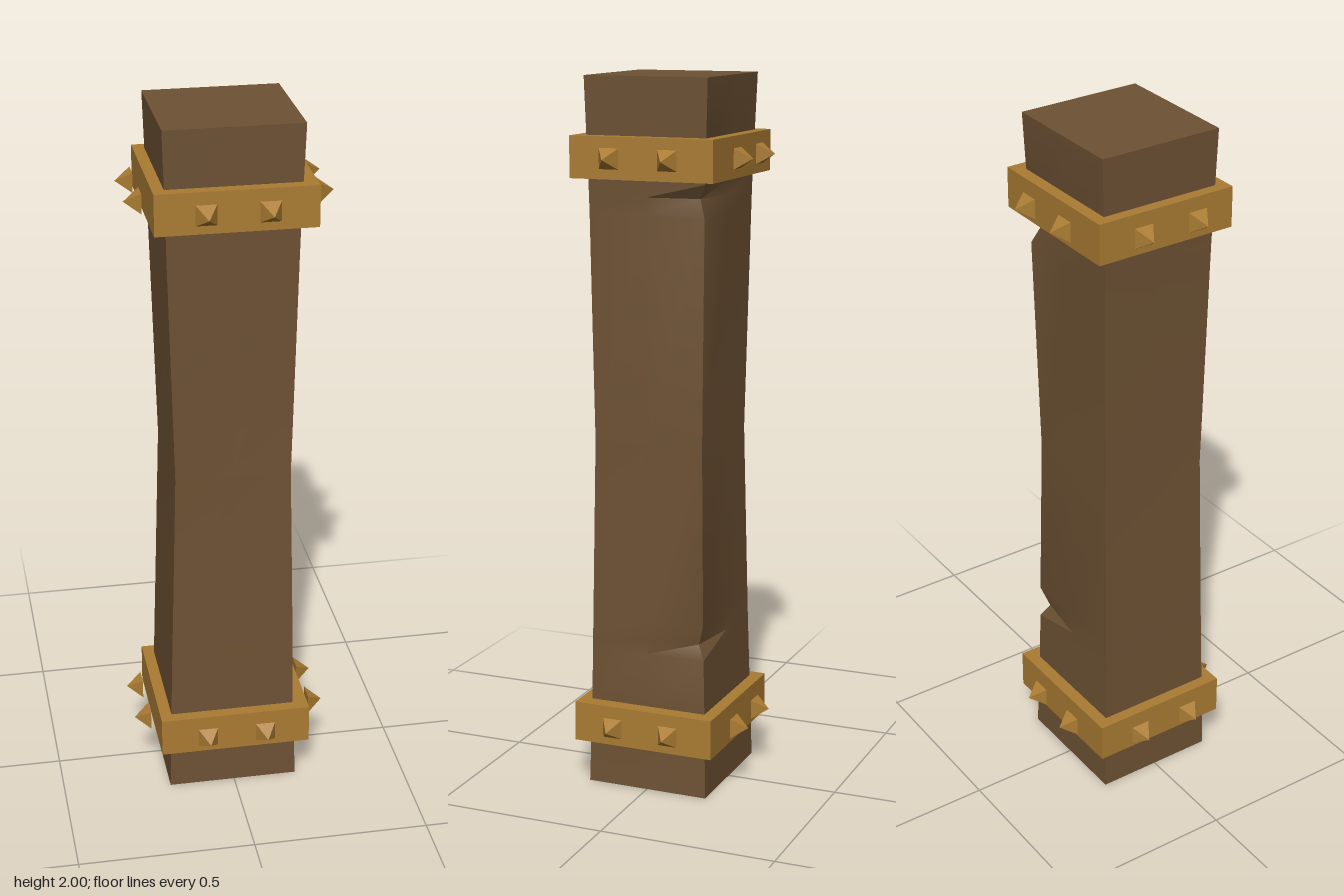
import * as THREE from 'three';
import { toCreasedNormals } from 'three/addons/utils/BufferGeometryUtils.js';

const wood = new THREE.MeshStandardMaterial({ color: 0x6e5234 });
const brass = new THREE.MeshStandardMaterial({ color: 0xab7c33 });

// Cross-sections of the post: y, left, right, back, front, chip depth at the back right corner
const SECTIONS = [
  [0, -0.19, 0.184, -0.178, 0.178, 0],
  [0.25, -0.184, 0.174, -0.171, 0.173, 0],
  [0.4, -0.18, 0.172, -0.167, 0.171, 0],
  [0.44, -0.179, 0.172, -0.166, 0.17, 0.021],
  [0.5, -0.177, 0.171, -0.165, 0.169, 0],
  [1.0, -0.163, 0.16, -0.156, 0.163, 0],
  [1.63, -0.18, 0.173, -0.166, 0.169, 0],
  [1.68, -0.181, 0.174, -0.167, 0.17, 0.021],
  [1.72, -0.182, 0.175, -0.168, 0.171, 0],
  [2, -0.19, 0.184, -0.178, 0.178, 0],
];

function postGeometry() {
  const pos = [], index = [], n = 8;
  for (const [y, l, r, b, f, chip] of SECTIONS) {
    const mx = (l + r) / 2, mz = (b + f) / 2;
    const loop = [[r, f], [r, mz], [r - chip, b + chip], [mx, b], [l, b], [l, mz], [l, f], [mx, f]];
    for (const [x, z] of loop) pos.push(x, y, z);
  }
  const last = SECTIONS.length - 1;
  for (let i = 0; i < last; i++) {
    for (let j = 0; j < n; j++) {
      const a = i * n + j, b = i * n + (j + 1) % n;
      index.push(a, b, b + n, a, b + n, a + n);
    }
  }
  // end caps
  for (let j = 1; j < n - 1; j++) {
    index.push(0, j + 1, j, last * n, last * n + j, last * n + j + 1);
  }
  const g = new THREE.BufferGeometry();
  g.setAttribute('position', new THREE.Float32BufferAttribute(pos, 3));
  g.setIndex(index);
  return toCreasedNormals(g, 0.5);
}

// Square pyramid pointing along +z, base at z = 0
function studGeometry() {
  const g = new THREE.ConeGeometry(0.028 * Math.SQRT2, 0.045, 4);
  g.rotateY(Math.PI / 4);
  g.translate(0, 0.0225, 0);
  g.rotateX(Math.PI / 2);
  return toCreasedNormals(g, 0.1);
}

export function createModel() {
  const model = new THREE.Group();
  const add = (parent, name, geometry, material) => {
    const mesh = new THREE.Mesh(geometry, material);
    mesh.name = name;
    parent.add(mesh);
    return mesh;
  };

  add(model, 'post', postGeometry(), wood);

  const bandGeometry = new THREE.BoxGeometry(0.434, 0.114, 0.414);
  const stud = studGeometry();
  for (const [name, y] of [['lowerBand', 0.188], ['upperBand', 1.785]]) {
    const band = new THREE.Group();
    band.name = name;
    band.position.y = y;
    model.add(band);
    add(band, 'strap', bandGeometry, brass);

    // two studs standing off each side
    for (let side = 0; side < 4; side++) {
      const ring = new THREE.Group();
      ring.name = 'studPair';
      ring.rotation.y = side * Math.PI / 2;
      band.add(ring);
      for (const x of [-0.084, 0.084]) {
        add(ring, 'stud', stud, brass).position.set(x, 0, side % 2 ? 0.235 : 0.224);
      }
    }
  }
  return model;
}
